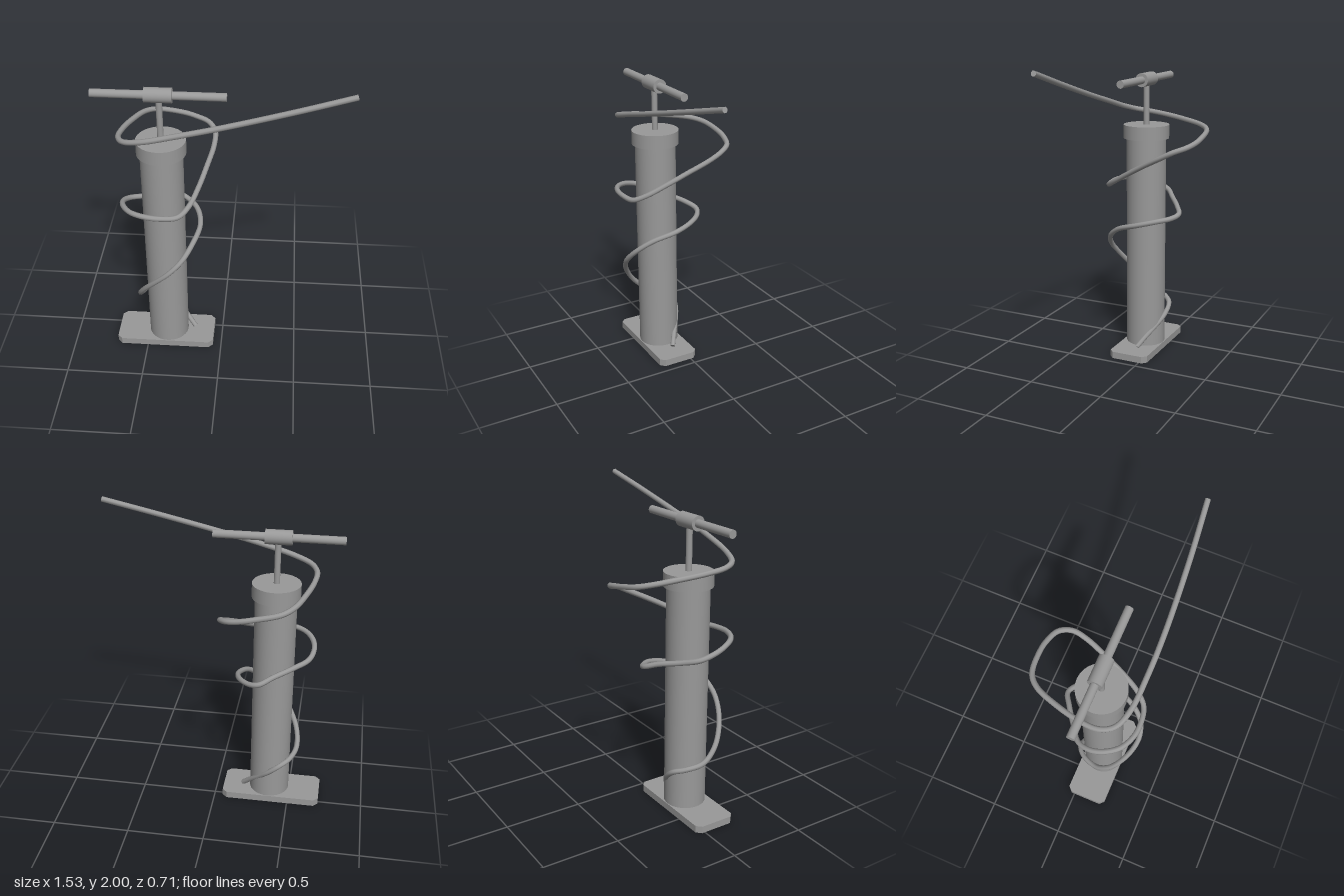
import * as THREE from 'three';

export function createModel() {
  const model = new THREE.Group();
  model.name = 'floorPump';
  const material = new THREE.MeshStandardMaterial({ color: 0x999999 });
  const AX = -0.365, AZ = 0.086; // pump axis

  function add(name, geometry, x = 0, y = 0, z = 0) {
    const mesh = new THREE.Mesh(geometry, material);
    mesh.name = name;
    mesh.position.set(x, y, z);
    model.add(mesh);
    return mesh;
  }
  const upright = (name, r, y0, y1) =>
    add(name, new THREE.CylinderGeometry(r, r, y1 - y0, 40), AX, (y0 + y1) / 2, AZ);
  const crossbar = (name, r, length) => {
    add(name, new THREE.CylinderGeometry(r, r, length, 32), -0.368, 1.865, AZ).rotation.z = Math.PI / 2;
  };

  // Foot plate with clipped corners
  const w = 0.327, d = 0.137, c = 0.03;
  const plate = new THREE.Shape([
    [-w + c, -d], [w - c, -d], [w, -d + c], [w, d - c],
    [w - c, d], [-w + c, d], [-w, d - c], [-w, -d + c],
  ].map(([x, y]) => new THREE.Vector2(x, y)));
  const plateGeometry = new THREE.ExtrudeGeometry(plate, { depth: 0.046, bevelEnabled: false });
  plateGeometry.rotateX(-Math.PI / 2);
  add('footPlate', plateGeometry, -0.382, 0, AZ);

  // Barrel, cap, plunger and handle
  upright('barrel', 0.132, 0.04, 1.5);
  upright('barrelCap', 0.152, 1.48, 1.57);
  upright('plungerRod', 0.019, 1.5, 1.865);
  crossbar('handleBar', 0.025, 0.794);
  crossbar('handleCollar', 0.045, 0.164);

  // Hose winding up around the barrel
  const path = [
    [-0.185, 0.055, 0.07], [-0.235, 0.11, 0.035], [-0.3, 0.18, -0.015], [-0.37, 0.25, -0.055],
    [-0.44, 0.31, -0.058], [-0.5, 0.337, -0.005], [-0.54, 0.37, 0.1], [-0.53, 0.45, 0.19],
    [-0.48, 0.55, 0.26], [-0.4, 0.65, 0.31], [-0.32, 0.73, 0.325], [-0.24, 0.81, 0.295],
    [-0.18, 0.88, 0.21], [-0.14, 0.93, 0.06], [-0.17, 0.963, -0.07], [-0.24, 0.98, -0.155],
    [-0.3, 0.998, -0.18], [-0.38, 1.03, -0.135], [-0.5, 1.06, -0.05], [-0.59, 1.09, 0.02],
    [-0.617, 1.125, 0.11], [-0.597, 1.15, 0.2], [-0.54, 1.163, 0.28], [-0.45, 1.168, 0.325],
    [-0.35, 1.165, 0.333], [-0.25, 1.165, 0.31], [-0.19, 1.2, 0.245], [-0.14, 1.265, 0.13],
    [-0.1, 1.335, 0], [-0.065, 1.405, -0.14], [-0.065, 1.45, -0.23], [-0.11, 1.477, -0.3],
    [-0.19, 1.497, -0.33], [-0.27, 1.517, -0.338], [-0.43, 1.55, -0.315], [-0.5, 1.57, -0.25],
    [-0.56, 1.593, -0.1], [-0.597, 1.612, 0.05], [-0.602, 1.627, 0.17], [-0.56, 1.643, 0.25],
    [-0.45, 1.673, 0.295], [-0.25, 1.727, 0.31], [0, 1.79, 0.31], [0.4, 1.892, 0.287],
    [0.756, 1.984, 0.253],
  ].map((p) => new THREE.Vector3(...p));
  const curve = new THREE.CatmullRomCurve3(path);
  const hoseRadius = 0.017, hoseSides = 8;
  add('hose', new THREE.TubeGeometry(curve, 320, hoseRadius, hoseSides));

  // Flat hose ends
  for (const [t, sign] of [[0, -1], [1, 1]]) {
    const end = add('hoseEnd', new THREE.CircleGeometry(hoseRadius, hoseSides), ...curve.getPointAt(t).toArray());
    const outward = curve.getTangentAt(t).multiplyScalar(sign);
    end.quaternion.setFromUnitVectors(new THREE.Vector3(0, 0, 1), outward);
  }
  return model;
}
